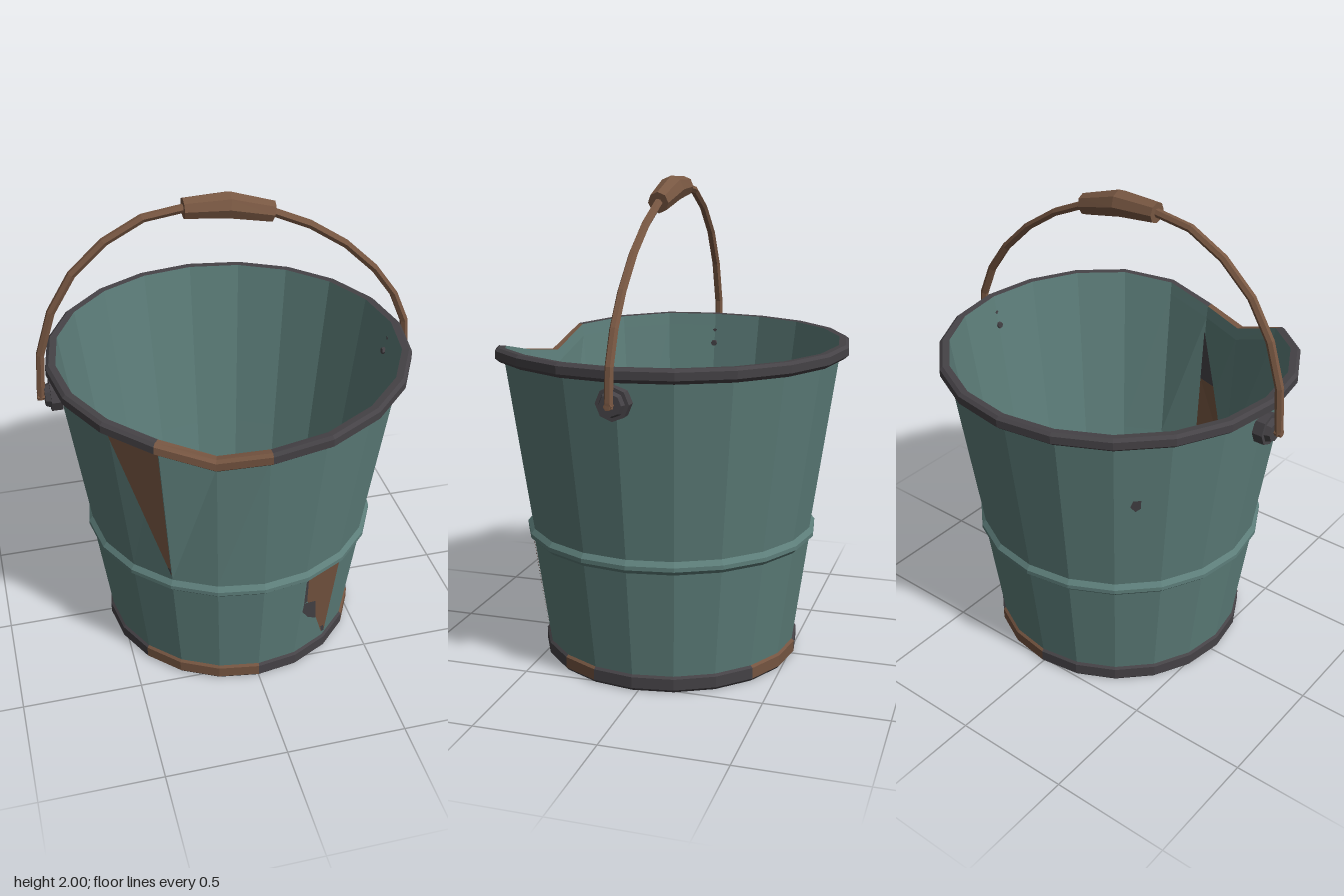
import * as THREE from 'three';

const SIDES = 20, STEP = Math.PI * 2 / SIDES, CZ = 0.025;

const paint = (name, color, side = THREE.FrontSide) => {
  const m = new THREE.MeshStandardMaterial({ color, side, flatShading: true });
  m.name = name;
  return m;
};

// Dented part of the lip: corner index -> [inward push, drop]
const DENT = { 17: [0.005, 0.01], 18: [0.015, 0.03], 19: [0.078, 0.115], 0: [0.06, 0.085], 1: [0.012, 0.035], 2: [0, 0.008] };

// Corner i of the bucket at radius r and height y, with the dent fading in above the band
function corner(i, r, y) {
  const k = (i + SIDES) % SIDES, a = k * STEP;
  const w = THREE.MathUtils.clamp((y - 0.57) / 0.72, 0, 1);
  const [dr, dy] = DENT[k] || [0, 0];
  return new THREE.Vector3(Math.sin(a) * (r - dr * w), y - dy * w, Math.cos(a) * (r - dr * w) + CZ);
}

// Faceted ring swept from a [radius, height] profile; pick(i, j) chooses the material of each face
function ring(name, profile, materials, pick = () => 0) {
  const lists = materials.map(() => []);
  for (let j = 0; j < profile.length - 1; j++) {
    const [r0, y0] = profile[j], [r1, y1] = profile[j + 1];
    for (let i = 0; i < SIDES; i++) {
      const a = corner(i, r0, y0), b = corner(i + 1, r0, y0);
      const c = corner(i + 1, r1, y1), d = corner(i, r1, y1);
      const out = lists[pick(i, j)];
      if (r0 > 0) out.push(a, b, c);
      if (r1 > 0) out.push(a, c, d);
    }
  }
  const g = new THREE.BufferGeometry().setFromPoints(lists.flat());
  let start = 0;
  lists.forEach((l, m) => { g.addGroup(start, l.length, m); start += l.length; });
  g.computeVertexNormals();
  const mesh = new THREE.Mesh(g, materials);
  mesh.name = name;
  return mesh;
}

// Thin flake on wall face i; points are [fraction across the face, height]
function flake(name, i, profile, offset, points, material) {
  const radius = (y) => {
    const [[r0, y0], [r1, y1]] = profile;
    return r0 + (r1 - r0) * (y - y0) / (y1 - y0) + offset;
  };
  const pts = points.map(([t, y]) => corner(i, radius(y), y).lerp(corner(i + 1, radius(y), y), t));
  const tris = [];
  for (let k = 1; k < pts.length - 1; k++) tris.push(pts[0], pts[k], pts[k + 1]);
  const g = new THREE.BufferGeometry().setFromPoints(tris);
  g.computeVertexNormals();
  const mesh = new THREE.Mesh(g, material);
  mesh.name = name;
  return mesh;
}

export function createModel() {
  const model = new THREE.Group();
  model.name = 'bucket';
  const teal = paint('teal paint', 0x5d7e7a);
  const iron = paint('dark iron', 0x454246, THREE.DoubleSide);
  const rust = paint('rust', 0x745440, THREE.DoubleSide);
  const brown = paint('handle brown', 0x785742);

  // Outer wall with its raised band
  const lower = [[0.535, 0.065], [0.597, 0.515]], upper = [[0.599, 0.57], [0.703, 1.29]];
  model.add(ring('outerWall', [...lower, [0.615, 0.533], [0.615, 0.55], ...upper], [teal]));

  // Inner wall, sloped bottom edge and floor
  const inner = [[0.6924, 1.29], [0.589, 0.57]];
  model.add(ring('innerWall', [[0.7, 1.343], ...inner, [0.525, 0.13], [0.475, 0.08], [0, 0.08]], [teal, rust],
    (i, j) => (j === 3 && [7, 8, 16].includes(i) ? 1 : 0)));

  // Rolled lip, rusty along the dent
  model.add(ring('rim', [[0.7, 1.285], [0.722, 1.287], [0.741, 1.303], [0.741, 1.334], [0.728, 1.345], [0.7, 1.343]],
    [iron, rust], (i) => (i >= 18 ? 1 : 0)));

  // Foot ring with rusty sections, and the underside
  const rustyFoot = [17, 18, 19, 3, 8, 9];
  model.add(ring('footRing', [[0.535, 0], [0.545, 0.012], [0.545, 0.058], [0.532, 0.07]],
    [iron, rust], (i, j) => (j > 0 && rustyFoot.includes(i) ? 1 : 0)));
  model.add(ring('underside', [[0, 0.008], [0.505, 0.008], [0.51, 0], [0.535, 0]], [rust, teal], (i, j) => (j > 0 ? 1 : 0)));

  // Rust flakes and chips
  model.add(flake('upperRust', 17, upper, 0.005, [[0, 1.275], [1, 0.6], [1, 1.275]], rust));
  model.add(flake('upperRustTip', 17, upper, 0.007, [[0.93, 0.645], [1, 0.6], [1, 0.64]], iron));
  model.add(flake('lowerRust', 1, lower, 0.004, [[1, 0.515], [0.05, 0.515], [0.08, 0.4], [0.45, 0.28], [0.9, 0.1], [1, 0.1]], rust));
  model.add(flake('lowerRustTip', 1, lower, 0.006, [[0.82, 0.14], [0.9, 0.1], [1, 0.1], [0.92, 0.14]], iron));
  model.add(flake('lowerChip', 1, lower, 0.006, [[0.04, 0.38], [0.02, 0.33], [0.25, 0.27], [0.55, 0.23], [0.42, 0.35]], iron));
  model.add(flake('lowerChipTop', 1, lower, 0.006, [[0, 0.515], [0.06, 0.515], [0.13, 0.38], [0.03, 0.38]], iron));
  model.add(flake('backChip', 12, upper, 0.004, [[0.35, 1.02], [0.3, 0.99], [0.4, 0.965], [0.5, 0.98], [0.5, 1.02]], iron));
  model.add(flake('innerRust', 19, inner, -0.008, [[1, 0.95], [1, 0.6], [0.05, 0.6], [0.55, 0.95]], rust));
  model.add(flake('innerRustTop', 19, inner, -0.008, [[1, 1.22], [1, 0.95], [0.55, 0.95]], iron));

  // Pivot bolts on both sides
  const lug = (name, rOut, rIn, x0, x1, s, material, sides = 8) => {
    const g = new THREE.CylinderGeometry(rOut, rIn, x1 - x0, sides).rotateZ(-s * Math.PI / 2);
    const mesh = new THREE.Mesh(g, material);
    mesh.position.set(s * (x0 + x1) / 2, 1.21, CZ);
    mesh.name = name;
    return mesh;
  };
  for (const s of [-1, 1]) {
    const bolt = new THREE.Group();
    bolt.name = s > 0 ? 'leftBolt' : 'rightBolt';
    bolt.add(lug('boltPlate', 0.066, 0.066, 0.688, 0.732, s, iron), lug('boltHead', 0.043, 0.052, 0.73, 0.753, s, iron),
      lug('boltEnd', 0.014, 0.014, 0.668, 0.69, s, iron, 6), lug('wireEnd', 0.016, 0.016, 0.7, 0.782, s, brown, 6));
    model.add(bolt);
  }

  // Bent wire handle
  const path = [[-0.768, 1.2], [-0.755, 1.4], [-0.7, 1.58], [-0.61, 1.73], [-0.48, 1.85], [-0.33, 1.93], [-0.17, 1.953],
    [0, 1.945], [0.17, 1.903], [0.33, 1.83], [0.48, 1.73], [0.61, 1.605], [0.7, 1.48], [0.755, 1.35], [0.768, 1.2]];
  const curve = new THREE.CatmullRomCurve3(path.map(([x, y]) => new THREE.Vector3(x, y, CZ)));
  curve.getPointAt = curve.getPoint;
  const wire = new THREE.Mesh(new THREE.TubeGeometry(curve, path.length - 1, 0.0175, 6), brown);
  wire.name = 'wireHandle';
  model.add(wire);

  // Barrel grip, bent to follow the wire
  const gripGeo = new THREE.CylinderGeometry(1, 1, 0.35, 8, 2).rotateZ(-Math.PI / 2);
  const p = gripGeo.attributes.position;
  for (let k = 0; k < p.count; k++) {
    const x = p.getX(k), t = Math.abs(x) / 0.175;
    const r = 0.054 - 0.012 * t, y = p.getY(k) * r;
    const tilt = x > 0.01 ? 0.25 : x < -0.01 ? -0.02 : 0.12;
    const mid = x > 0.01 ? 1.902 : x < -0.01 ? 1.952 : 1.947;
    p.setXYZ(k, x + y * tilt, mid + y, p.getZ(k) * r + CZ);
  }
  gripGeo.computeVertexNormals();
  const grip = new THREE.Mesh(gripGeo, brown);
  grip.name = 'grip';
  model.add(grip);

  return model;
}
